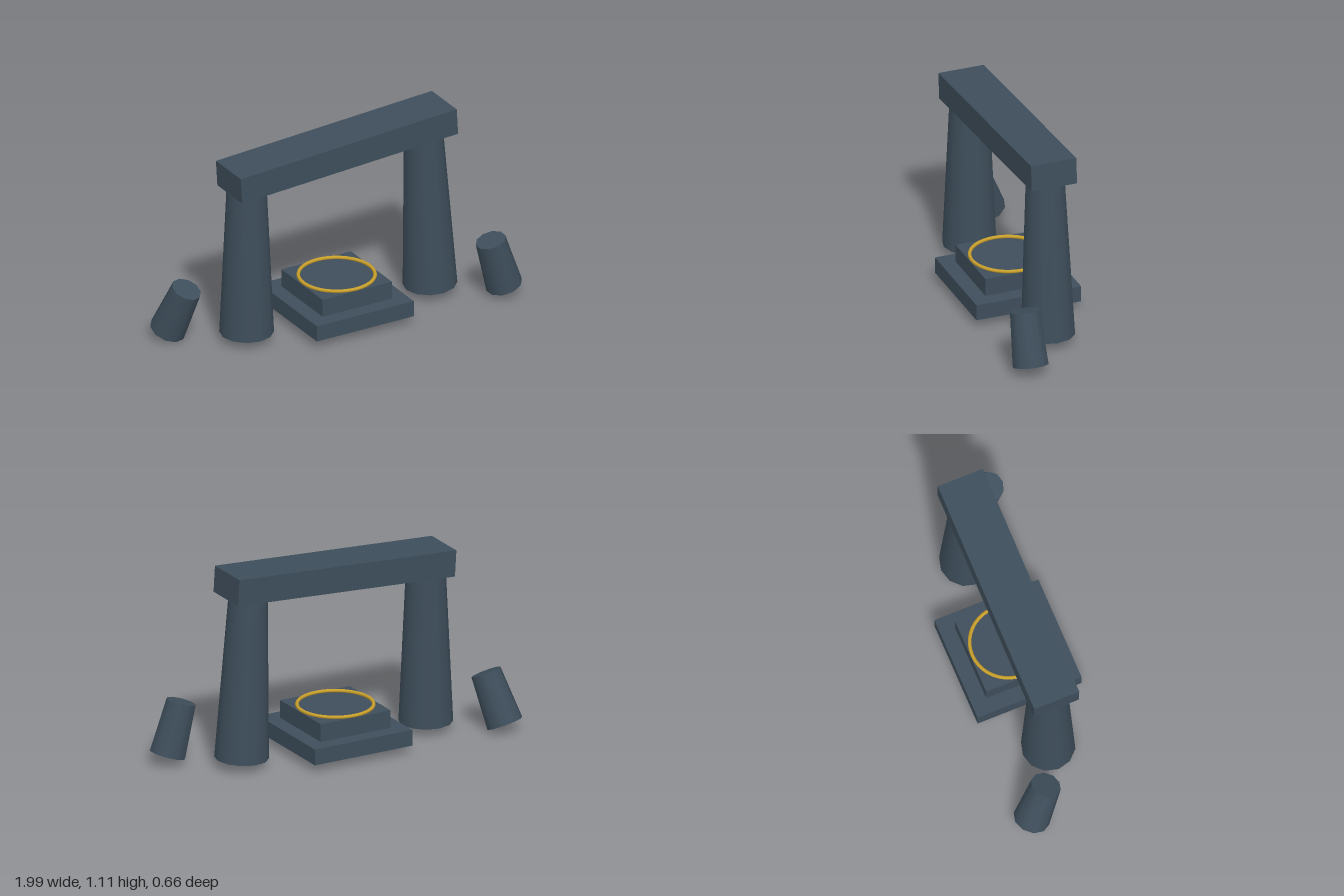
import * as THREE from 'three';

export function createModel() {
  const group = new THREE.Group();
  const slate = new THREE.MeshStandardMaterial({ color: 0x3e4e5b });
  slate.name = 'slate stone';
  const gold = new THREE.MeshStandardMaterial({ color: 0xc9a02c });
  gold.name = 'gold';

  const add = (name, geometry, material, x, y, z) => {
    const mesh = new THREE.Mesh(geometry, material);
    mesh.name = name;
    mesh.position.set(x, y, z);
    group.add(mesh);
    return mesh;
  };

  // Tapered stone column running from a bottom centre to a top centre
  const column = (name, bottom, top, rBottom, rTop, sides) => {
    const a = new THREE.Vector3(...bottom);
    const b = new THREE.Vector3(...top);
    const axis = b.clone().sub(a);
    const mid = a.clone().add(b).multiplyScalar(0.5);
    const mesh = add(name, new THREE.CylinderGeometry(rTop, rBottom, axis.length(), sides),
      slate, mid.x, mid.y, mid.z);
    mesh.quaternion.setFromUnitVectors(new THREE.Vector3(0, 1, 0), axis.normalize());
  };

  // Gateway: one upright pillar, one leaning pillar, and a sloping lintel
  column('rightPillar', [-0.558, 0.05, 0], [-0.558, 0.95, 0], 0.146, 0.105, 12);
  column('leftPillar', [0.578, 0.052, 0], [0.538, 0.96, 0], 0.146, 0.105, 12);
  add('lintel', new THREE.BoxGeometry(1.34, 0.147, 0.26), slate, 0.001, 1.002, 0.002)
    .rotation.z = 0.06;

  // Stepped altar with a gold ring on top
  add('altarBase', new THREE.BoxGeometry(0.6, 0.09, 0.6), slate, 0, 0.095, 0);
  add('altarStep', new THREE.BoxGeometry(0.43, 0.1, 0.43), slate, 0, 0.19, 0);
  add('altarRing', new THREE.TorusGeometry(0.205, 0.01, 8, 40), gold, 0, 0.247, 0)
    .rotation.x = -Math.PI / 2;

  // Broken column stumps beside the gateway
  column('rightStump', [-0.905, 0.045, -0.241], [-0.85, 0.314, -0.135], 0.1, 0.083, 10);
  column('leftStump', [0.902, 0.057, 0.228], [0.818, 0.341, 0.228], 0.1, 0.083, 10);

  return group;
}
